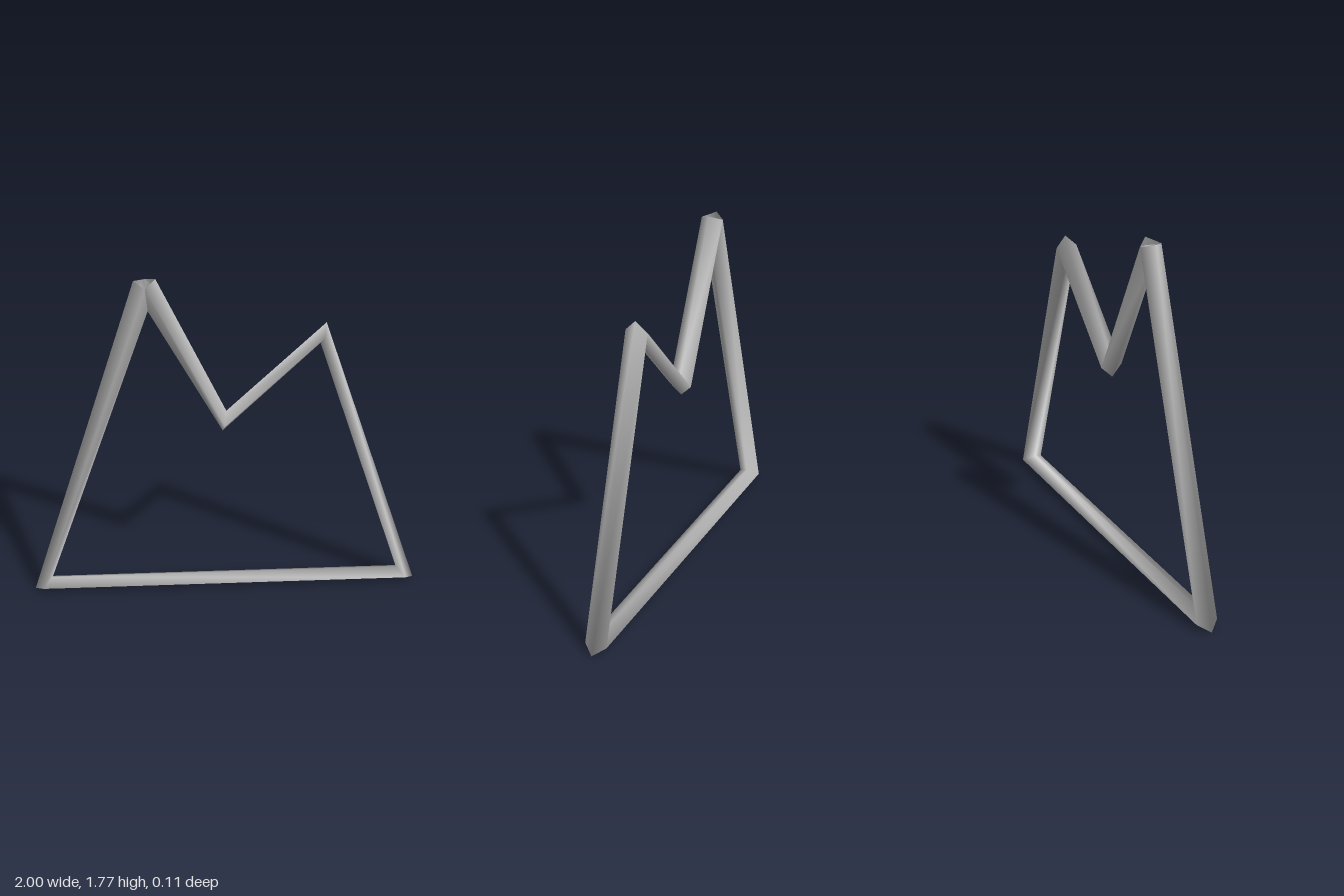
import * as THREE from 'three';

const RADIUS = 0.057;
const SIDES = 4;

// Diamond-section rod swept along an open polyline, with one ring at each corner
function sweptRod(points) {
  const last = points.length - 1;
  const direction = (i) => points[i + 1].clone().sub(points[i]).normalize();
  const positions = [];
  const indices = [];
  points.forEach((p, i) => {
    const tangent = new THREE.Vector2();
    if (i > 0) tangent.add(direction(i - 1));
    if (i < last) tangent.add(direction(i));
    tangent.normalize();
    for (let j = 0; j < SIDES; j++) {
      const angle = (j / SIDES) * Math.PI * 2;
      const out = Math.cos(angle) * RADIUS;
      positions.push(p.x + tangent.y * out, p.y - tangent.x * out, Math.sin(angle) * RADIUS);
      if (i < last) {
        const a = i * SIDES + j;
        const b = i * SIDES + ((j + 1) % SIDES);
        indices.push(a, a + SIDES, b, a + SIDES, b + SIDES, b);
      }
    }
  });
  const geometry = new THREE.BufferGeometry();
  geometry.setAttribute('position', new THREE.Float32BufferAttribute(positions, 3));
  geometry.setIndex(indices);
  geometry.computeVertexNormals();
  return geometry;
}

export function createModel() {
  const group = new THREE.Group();
  group.name = 'mountainOutline';

  // The rod is open at the tall peak, where its two ends meet
  const grey = new THREE.MeshStandardMaterial({ color: 0xc0c0c0, side: THREE.DoubleSide });
  grey.name = 'lightGrey';

  // Counterclockwise from the tall peak
  const path = [
    [-0.38, 1.745],
    [-0.954, 0.033],
    [0.954, 0.033],
    [0.477, 1.467],
    [-0.003, 0.99],
    [-0.38, 1.745],
  ].map(([x, y]) => new THREE.Vector2(x, y));

  const frame = new THREE.Mesh(sweptRod(path), grey);
  frame.name = 'peakFrame';
  group.add(frame);
  return group;
}
